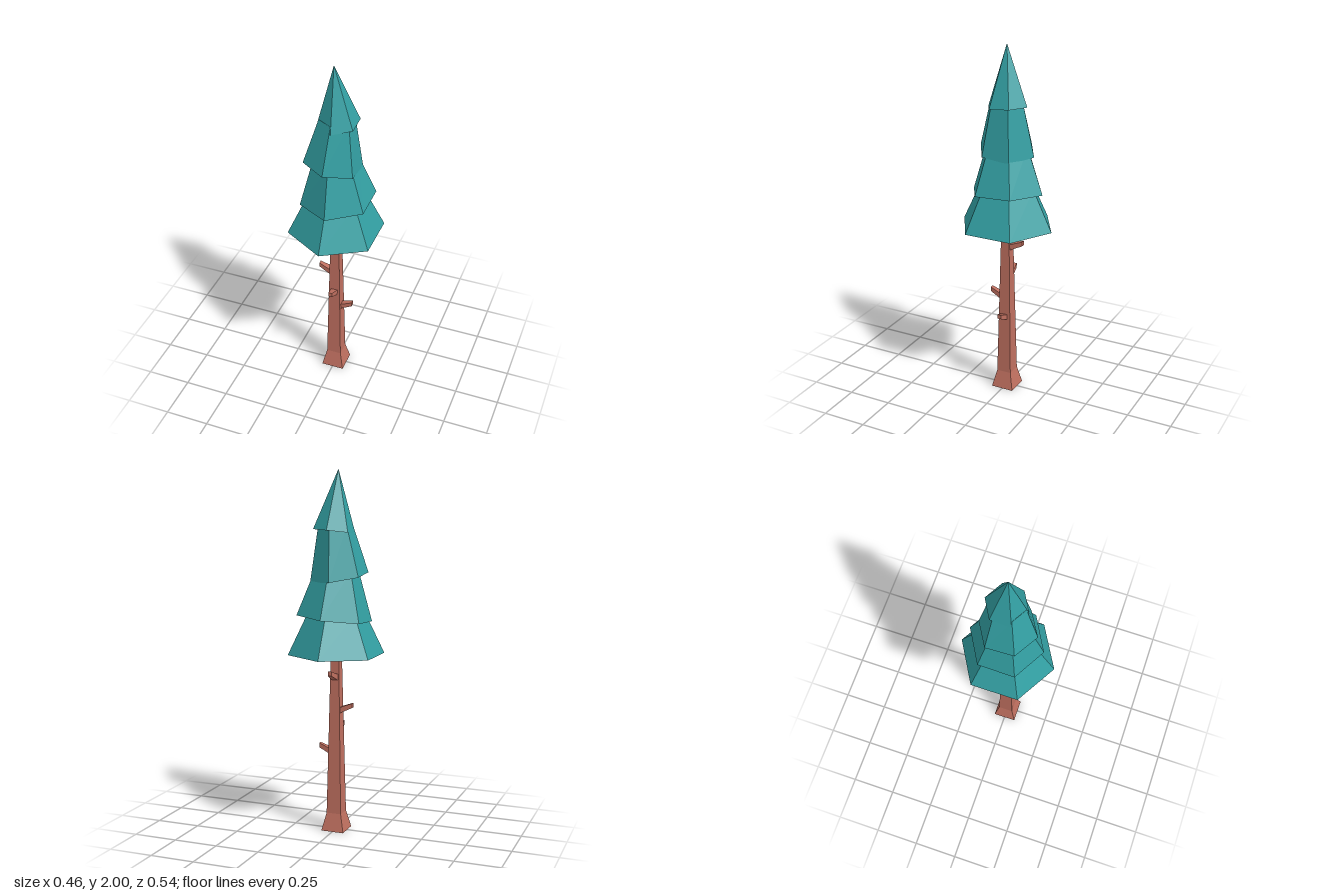
import * as THREE from 'three';

const leaf = new THREE.MeshStandardMaterial({ color: 0x33a0a3, flatShading: true });
const bark = new THREE.MeshStandardMaterial({ color: 0xc07060, flatShading: true });

// Rewrite every vertex of a geometry by a rule
function reshape(geometry, rule) {
  const p = geometry.attributes.position;
  const v = new THREE.Vector3();
  for (let i = 0; i < p.count; i++) {
    rule(v.fromBufferAttribute(p, i));
    p.setXYZ(i, v.x, v.y, v.z);
  }
  geometry.computeVertexNormals();
  return geometry;
}

// Six-sided skirt with a tilted lower rim; centres are [x, z], tilt is the rim's slope in x and z
function skirt({ y, r, c, tilt, topY, topR, topC }) {
  const g = new THREE.CylinderGeometry(topR, r, 1, 6);
  return reshape(g, (v) => {
    if (v.y > 0) {
      v.set(v.x + topC[0], topY, v.z + topC[1]);
    } else {
      v.x += c[0];
      v.z += c[1];
      v.y = y + tilt[0] * v.x + tilt[1] * v.z;
    }
  });
}

// Square stub reaching out along +z and rising, narrower at its tip
function stub() {
  return reshape(new THREE.BoxGeometry(2, 2, 1), (v) => {
    const tip = v.z > 0;
    v.set(v.x * (tip ? 0.011 : 0.02), v.y * (tip ? 0.0125 : 0.017) + (tip ? 0.027 : -0.007), tip ? 0.098 : 0.018);
  });
}

export function createModel() {
  const model = new THREE.Group();
  const add = (name, geometry, material) => {
    const mesh = new THREE.Mesh(geometry, material);
    mesh.name = name;
    model.add(mesh);
    return mesh;
  };

  // Square trunk with a flared foot: [half width, height]
  const profile = [[0, 0], [0.065, 0], [0.042, 0.1], [0.023, 1.02]]
    .map(([half, y]) => new THREE.Vector2(half * Math.SQRT2, y));
  add('trunk', new THREE.LatheGeometry(profile, 4, Math.PI / 4), bark);

  // Broken branch stubs, one on each side: [name, height, turn]
  const stubs = [
    ['leftBranch', 0.451, Math.PI / 2],
    ['frontBranch', 0.566, 0],
    ['rightBranch', 0.692, -Math.PI / 2],
    ['backBranch', 0.879, Math.PI],
  ];
  for (const [name, y, turn] of stubs) {
    const branch = add(name, stub(), bark);
    branch.position.y = y;
    branch.rotation.y = turn;
  }

  // Foliage tiers, bottom to top
  const tiers = [
    { y: 1.0, r: 0.268, c: [0, 0], tilt: [0, 0], topY: 1.23, topR: 0.157, topC: [0, 0] },
    { y: 1.197, r: 0.208, c: [0.008, -0.0075], tilt: [0.085, -0.05], topY: 1.46, topR: 0.12, topC: [-0.002, 0] },
    { y: 1.418, r: 0.16, c: [-0.015, 0.0075], tilt: [-0.13, 0.1], topY: 1.7, topR: 0.095, topC: [0.004, 0] },
    { y: 1.668, r: 0.115, c: [0.009, -0.0075], tilt: [0.075, -0.088], topY: 2, topR: 0, topC: [-0.01, 0.006] },
  ];
  tiers.forEach((t, i) => add(`foliageTier${i + 1}`, skirt(t), leaf));

  return model;
}
